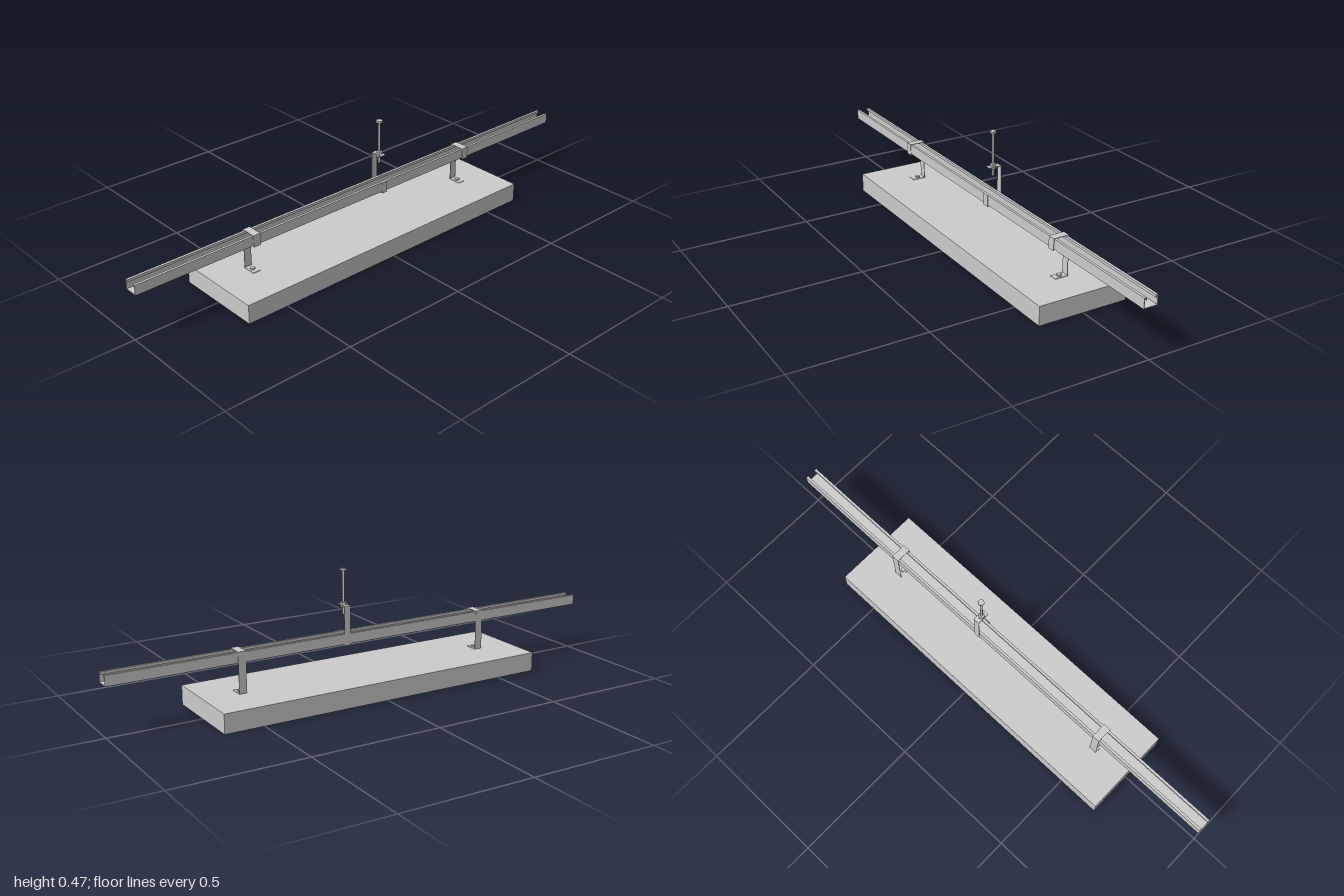
import * as THREE from 'three';

const material = new THREE.MeshStandardMaterial({ color: 0xcccccc });

function add(parent, name, geometry, x = 0, y = 0, z = 0) {
  const mesh = new THREE.Mesh(geometry, material);
  mesh.name = name;
  mesh.position.set(x, y, z);
  parent.add(mesh);
  return mesh;
}

// Extrudes a (z, y) outline along x, centred on x = 0
function extrudeX(shape, length) {
  return new THREE.ExtrudeGeometry(shape, { depth: length, bevelEnabled: false })
    .translate(0, 0, -length / 2)
    .rotateY(-Math.PI / 2);
}

const shapeOf = (pts) => new THREE.Shape(pts.map(([a, b]) => new THREE.Vector2(a, b)));

// Folded sheet metal: a right-angled (z, y) path thickened evenly on both sides
function foldedSheet(path, thickness, length) {
  const normals = path.slice(1).map(([z, y], i) => {
    const dz = z - path[i][0], dy = y - path[i][1], l = Math.hypot(dz, dy);
    return [-dy / l, dz / l];
  });
  const offset = (side) => path.map(([z, y], i) => {
    const a = normals[i - 1] ?? [0, 0], b = normals[i] ?? [0, 0];
    const h = side * thickness / 2;
    return [z + (a[0] + b[0]) * h, y + (a[1] + b[1]) * h];
  });
  return extrudeX(shapeOf([...offset(1), ...offset(-1).reverse()]), length);
}

function hexNut(radius, height) {
  return new THREE.CylinderGeometry(radius, radius, height, 6).toNonIndexed();
}

// Threaded rod as a lathed zigzag
function threadedRod(bottom, top, radius, turns) {
  const pts = [new THREE.Vector2(0, bottom)];
  for (let i = 0; i <= turns * 2; i++) {
    const y = bottom + (top - bottom) * i / (turns * 2);
    pts.push(new THREE.Vector2(i % 2 ? radius : radius * 0.75, y));
  }
  pts.push(new THREE.Vector2(0, top));
  return new THREE.LatheGeometry(pts, 12);
}

function createLamp() {
  const lamp = new THREE.Group();
  lamp.name = 'lampFixture';
  const length = 1.315, depth = 0.352, height = 0.073;

  // Open-bottomed housing: wall frame and top plate
  const frame = shapeOf([[-length / 2, -depth / 2], [length / 2, -depth / 2],
    [length / 2, depth / 2], [-length / 2, depth / 2]]);
  const hx = length / 2 - 0.06, hz = depth / 2 - 0.014;
  frame.holes.push(new THREE.Path([[-hx, -hz], [-hx, hz], [hx, hz], [hx, -hz]]
    .map(([a, b]) => new THREE.Vector2(a, b))));
  const walls = new THREE.ExtrudeGeometry(frame, { depth: height - 0.006, bevelEnabled: false });
  walls.rotateX(-Math.PI / 2);
  add(lamp, 'housingWalls', walls);
  add(lamp, 'housingTop', new THREE.BoxGeometry(length, 0.006, depth), 0, height - 0.003, 0);

  // Reflector with sloping sides and a central ridge
  const reflector = shapeOf([[-hz, 0.068], [-hz, 0.012], [-0.125, 0.06], [-0.05, 0.06],
    [0, 0.012], [0.05, 0.06], [0.125, 0.06], [hz, 0.012], [hz, 0.068]]);
  add(lamp, 'reflector', extrudeX(reflector, hx * 2));

  // Fluorescent tubes with end sockets
  for (const z of [-0.095, 0.095]) {
    const tube = new THREE.CylinderGeometry(0.021, 0.021, hx * 2 - 0.03, 24);
    add(lamp, 'lampTube', tube.rotateZ(Math.PI / 2), 0, 0.031, z);
    for (const s of [-1, 1]) {
      add(lamp, 'tubeSocket', new THREE.BoxGeometry(0.018, 0.05, 0.03), s * (hx - 0.009), 0.036, z);
    }
  }
  return lamp;
}

export function createModel() {
  const model = new THREE.Group();
  model.name = 'hangingLamp';

  const lamp = createLamp();
  lamp.position.x = -0.0075;
  model.add(lamp);

  // Strut channel, open at the top with returned lips
  const rail = [[0.0235, 0.215], [0.0235, 0.2235], [0.0305, 0.2235], [0.0305, 0.1875],
    [-0.0205, 0.1875], [-0.0205, 0.2235], [-0.0135, 0.2235], [-0.0135, 0.215]];
  add(model, 'supportRail', foldedSheet(rail, 0.0026, 2));

  // Brackets hooked over the rail and bolted to the lamp
  const hook = [[0.026, 0.0745], [-0.0245, 0.0745], [-0.0245, 0.227], [0.035, 0.227], [0.035, 0.182]];
  for (const x of [-0.515, 0.505]) {
    const bracket = new THREE.Group();
    bracket.name = 'lampBracket';
    bracket.position.x = x;
    model.add(bracket);
    add(bracket, 'bracketStrap', foldedSheet(hook, 0.002, 0.03));
    add(bracket, 'bracketBolt', hexNut(0.0095, 0.006), 0, 0.0785, 0.001);
  }

  // Hanger cradling the rail from below, hung on a threaded rod
  const hanger = new THREE.Group();
  hanger.name = 'hanger';
  hanger.position.x = 0.079;
  model.add(hanger);
  const cradle = [[0.026, 0.329], [-0.0228, 0.329], [-0.0228, 0.182], [0.0345, 0.182], [0.0345, 0.226]];
  add(hanger, 'hangerStrap', foldedSheet(cradle, 0.002, 0.025));
  add(hanger, 'threadedRod', threadedRod(0.293, 0.46, 0.005, 30), 0, 0, 0.004);
  add(hanger, 'rodHead', hexNut(0.0125, 0.008), 0, 0.461, 0.004);
  add(hanger, 'upperNut', hexNut(0.0125, 0.0085), 0, 0.3345, 0.004);
  add(hanger, 'lowerNut', hexNut(0.011, 0.008), 0, 0.324, 0.004);

  // Flat facets on the nuts
  model.traverse((o) => {
    if (/Nut|Head|Bolt/.test(o.name)) o.geometry.computeVertexNormals();
  });
  return model;
}
